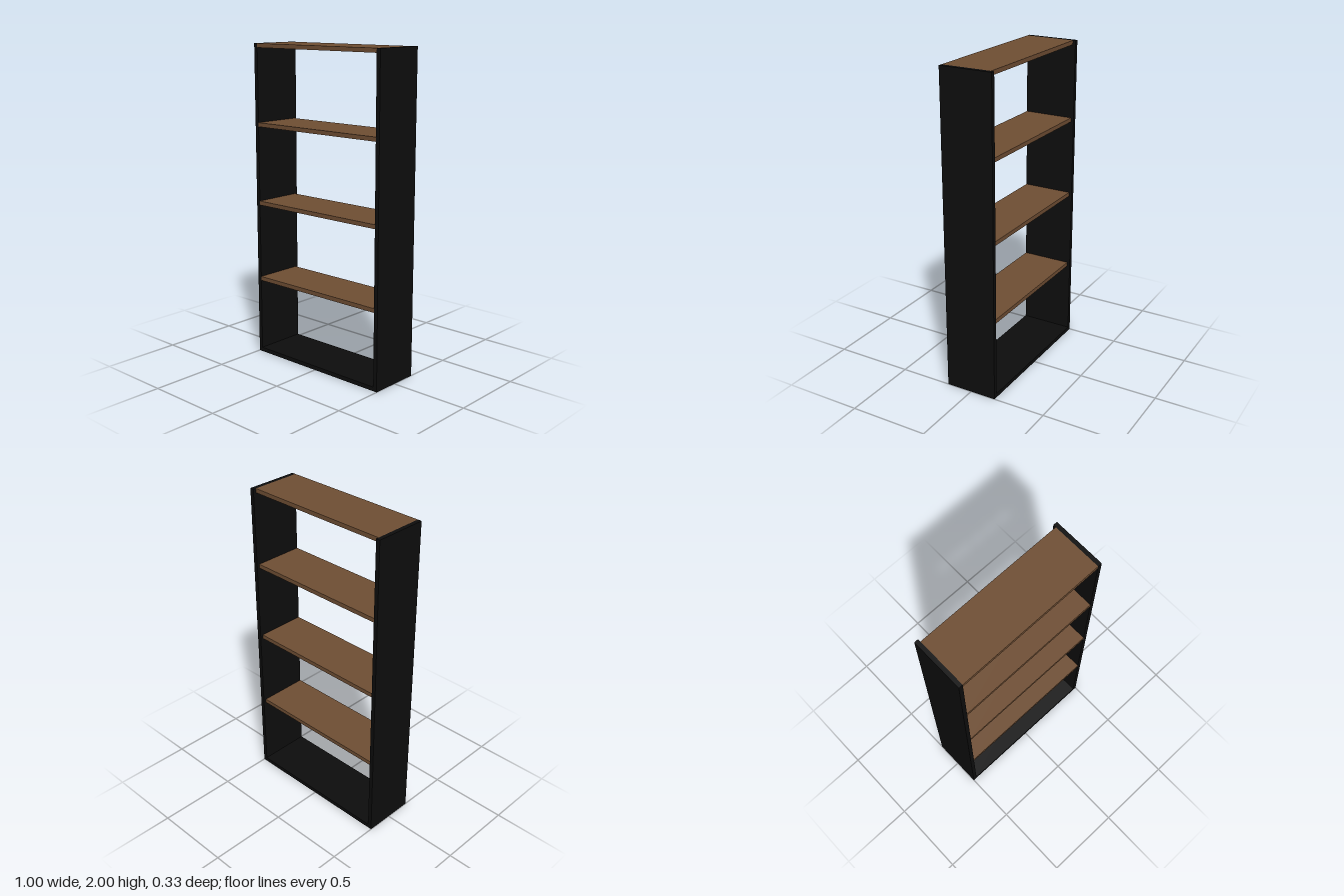
import * as THREE from 'three';

const WIDTH = 1, HEIGHT = 2, DEPTH = 0.334;
const BOARD = 0.026;       // thickness of every board
const BACK_GAP = 0.018;    // shelves stop short of the back edge

export function createModel() {
  const model = new THREE.Group();
  model.name = 'bookcase';
  const black = new THREE.MeshStandardMaterial({ color: 0x0d0d0d });
  const wood = new THREE.MeshStandardMaterial({ color: 0x6f4e33 });

  const board = (name, size, position, material) => {
    const mesh = new THREE.Mesh(new THREE.BoxGeometry(...size), material);
    mesh.name = name;
    mesh.position.set(...position);
    model.add(mesh);
  };

  // Full-height side panels
  for (const [name, s] of [['leftPanel', 1], ['rightPanel', -1]]) {
    board(name, [BOARD, HEIGHT, DEPTH], [s * (WIDTH - BOARD) / 2, HEIGHT / 2, 0], black);
  }

  // Base board between the panels
  const inner = WIDTH - 2 * BOARD;
  board('baseBoard', [inner, BOARD, DEPTH], [0, BOARD / 2, 0], black);

  // Wooden shelves, flush with the front; the highest is flush with the top
  [0.5, 1.0, 1.5, HEIGHT - BOARD / 2].forEach((y, i) => {
    board(`shelf${i + 1}`, [inner, BOARD, DEPTH - BACK_GAP], [0, y, BACK_GAP / 2], wood);
  });

  return model;
}
